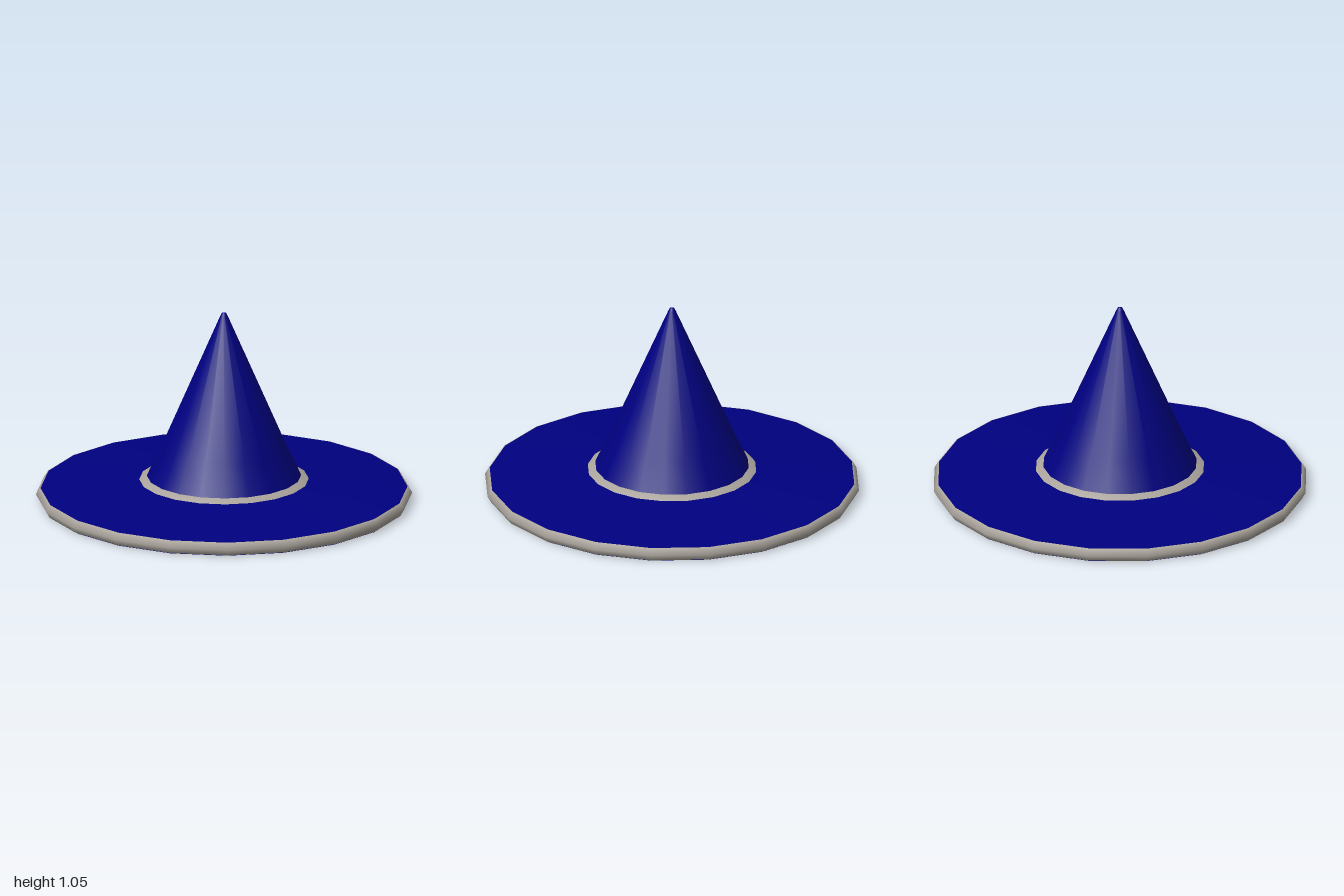
import * as THREE from 'three';

const SIDES = 20;

export function createModel() {
  const blue = new THREE.MeshStandardMaterial({ color: 0x000080 });
  blue.name = 'deep blue felt';
  const grey = new THREE.MeshStandardMaterial({ color: 0xaaa49c });
  grey.name = 'warm grey trim';

  const hat = new THREE.Group();
  hat.name = 'pointedHat';

  function add(name, geometry, material) {
    const mesh = new THREE.Mesh(geometry, material);
    mesh.name = name;
    hat.add(mesh);
  }

  // Profiles run from bottom to top so that faces point outward
  function turned(name, profile, material) {
    const points = profile.map(([r, y]) => new THREE.Vector2(r, y));
    add(name, new THREE.LatheGeometry(points, SIDES), material);
  }

  // Flat underside, thin edge, gently sloping top and the flat middle under the crown
  turned('brimUnderside', [[0, 0], [0.975, 0]], blue);
  turned('brimEdge', [[0.975, 0], [0.975, 0.074]], blue);
  turned('brimTop', [[0.975, 0.074], [0.41, 0.123]], blue);
  turned('brimMiddle', [[0.41, 0.123], [0, 0.123]], blue);

  // Six-sided tube around the brim
  const trim = new THREE.TorusGeometry(0.96, 0.04, 6, SIDES);
  trim.rotateX(Math.PI / 2).translate(0, 0.038, 0);
  add('brimTrim', trim, grey);

  // Band where the crown meets the brim
  turned('crownBand', [[0.453, 0.118], [0.435, 0.129], [0.408, 0.141]], grey);

  // Tall crown with a small rounded tip, and its base
  turned('crown', [[0.415, 0.13], [0.335, 0.3], [0.02, 1.028], [0.012, 1.043], [0, 1.048]], blue);
  turned('crownBase', [[0, 0.13], [0.415, 0.13]], blue);

  return hat;
}
